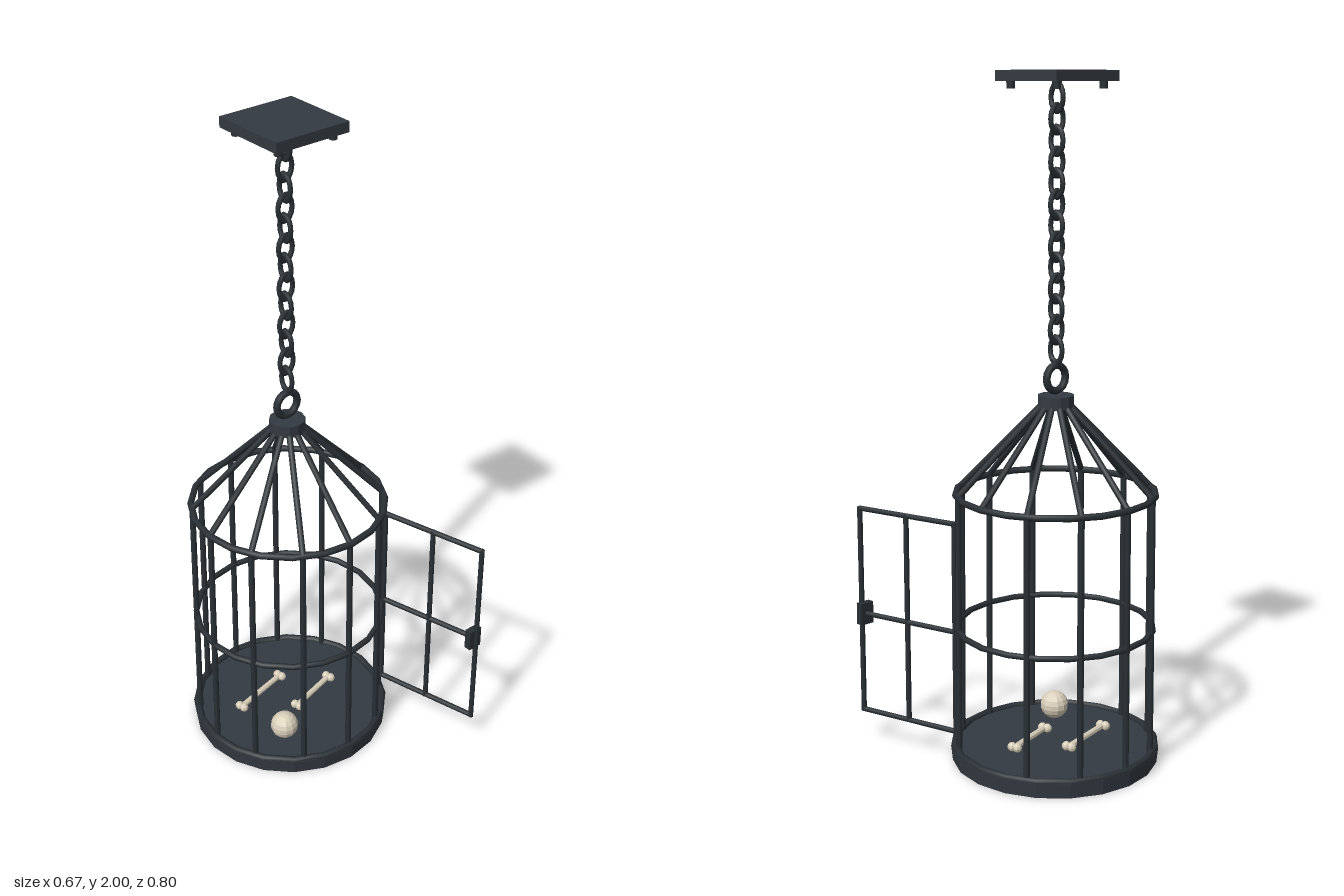
import * as THREE from 'three';

const material = (name, color, flatShading = false) => {
  const m = new THREE.MeshStandardMaterial({ color, flatShading });
  m.name = name;
  return m;
};

export function createModel() {
  const plateIron = material('plate iron', 0x343a42, true);
  const barIron = material('bar iron', 0x293035);
  const boneWhite = material('bone', 0xd9cfba, true);

  const model = new THREE.Group();
  model.name = 'hangingCage';
  const cage = new THREE.Group();
  cage.name = 'cage';
  cage.position.set(-0.026, 0, -0.093);
  model.add(cage);

  const add = (parent, name, geometry, mat, x = 0, y = 0, z = 0) => {
    const mesh = new THREE.Mesh(geometry, mat);
    mesh.name = name;
    mesh.position.set(x, y, z);
    parent.add(mesh);
    return mesh;
  };
  const up = new THREE.Vector3(0, 1, 0);
  // Round rod between two points
  const rod = (parent, name, a, b, r, mat = barIron) => {
    const p = new THREE.Vector3(...a), q = new THREE.Vector3(...b);
    const d = q.clone().sub(p);
    const mesh = add(parent, name, new THREE.CylinderGeometry(r, r, d.length(), 8), mat);
    mesh.position.copy(p).addScaledVector(d, 0.5);
    mesh.quaternion.setFromUnitVectors(up, d.normalize());
    return mesh;
  };
  const hoop = (name, radius, tube, y) => {
    add(cage, name, new THREE.TorusGeometry(radius, tube, 8, 20), barIron, 0, y).rotation.x = Math.PI / 2;
  };

  // Floor and hoops
  add(cage, 'floor', new THREE.CylinderGeometry(0.31, 0.305, 0.045, 20), plateIron, 0, 0.0225);
  hoop('floorRim', 0.298, 0.011, 0.045);
  hoop('middleHoop', 0.288, 0.009, 0.407);
  hoop('upperHoop', 0.29, 0.01, 0.81);

  // Upright bars, with one left out for the doorway, and sloping roof bars
  for (let i = 0; i < 12; i++) {
    const a = i * Math.PI / 6, c = Math.cos(a), s = Math.sin(a);
    if (i > 0) rod(cage, 'uprightBar', [c * 0.29, 0.04, s * 0.29], [c * 0.286, 0.81, s * 0.286], 0.009);
    rod(cage, 'roofBar', [c * 0.288, 0.81, s * 0.288], [c * 0.03, 1.078, s * 0.03], 0.009);
  }

  // Cap and hanging ring
  add(cage, 'cap', new THREE.CylinderGeometry(0.053, 0.053, 0.036, 12), plateIron, 0, 1.078);
  add(cage, 'hangingRing', new THREE.TorusGeometry(0.037, 0.011, 8, 16), barIron, 0, 1.145);

  // Chain of alternating links
  const linkGeometry = new THREE.TorusGeometry(0.024, 0.007, 8, 14).scale(1, 1.5, 1);
  for (let i = 0; i < 13; i++) {
    const link = add(cage, 'chainLink', linkGeometry, barIron, 0, 1.225 + i * 0.0585);
    if (i % 2 === 0) link.rotation.y = Math.PI / 2;
  }

  // Ceiling plate with bolts
  add(cage, 'ceilingPlate', new THREE.BoxGeometry(0.24, 0.03, 0.24), plateIron, 0, 1.985);
  for (const x of [-0.09, 0.09]) for (const z of [-0.09, 0.09]) {
    add(cage, 'bolt', new THREE.CylinderGeometry(0.012, 0.012, 0.022, 8), barIron, x, 1.961, z);
  }

  // Open door, built along its own x axis from the hinge
  const door = new THREE.Group();
  door.name = 'door';
  door.position.set(0.23, 0, 0.06);
  door.rotation.y = -Math.atan2(0.33, 0.09);
  model.add(door);
  for (const x of [0, 0.169, 0.337]) rod(door, 'doorUpright', [x, 0.095, 0], [x, 0.737, 0], 0.008);
  for (const y of [0.1, 0.407, 0.732]) rod(door, 'doorRail', [0, y, 0], [0.337, y, 0], 0.008);
  add(model, 'latch', new THREE.BoxGeometry(0.045, 0.066, 0.022), barIron, 0.314, 0.408, 0.376);

  // Skull on the floor
  add(model, 'skull', new THREE.SphereGeometry(0.043, 12, 9), boneWhite, -0.152, 0.086, 0.038);

  // Loose bones with paired knobs at each end
  const knob = new THREE.SphereGeometry(0.014, 8, 6);
  const bone = (x1, z1, x2, z2) => {
    const group = new THREE.Group();
    group.name = 'looseBone';
    model.add(group);
    rod(group, 'boneShaft', [x1, 0.06, z1], [x2, 0.06, z2], 0.009, boneWhite);
    const len = Math.hypot(x2 - x1, z2 - z1);
    const nx = -(z2 - z1) / len * 0.009, nz = (x2 - x1) / len * 0.009;
    for (const [x, z] of [[x1, z1], [x2, z2]]) for (const s of [-1, 1]) {
      add(group, 'boneKnob', knob, boneWhite, x + s * nx, 0.06, z + s * nz);
    }
  };
  bone(-0.187, -0.137, 0.0, -0.18);
  bone(-0.046, -0.03, 0.12, -0.075);

  return model;
}
